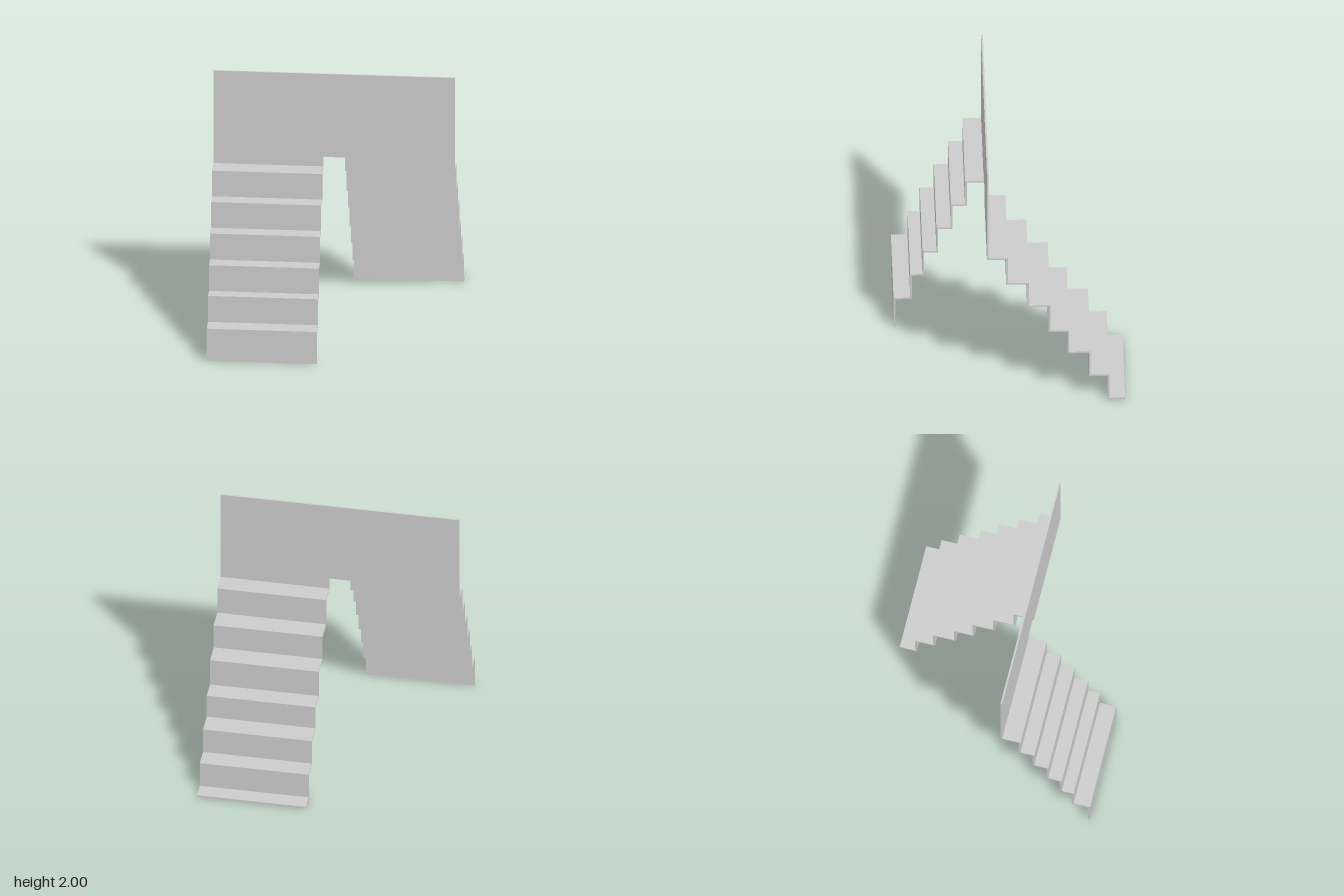
import * as THREE from 'three';

const T = 0.013;       // sheet thickness
const INNER = 0.077;   // half the gap between the flights
const OUTER = 0.872;   // half the total width
const WALL_BACK = 0.159, WALL_FRONT = 0.172;

const material = new THREE.MeshStandardMaterial({ color: 0xcccccc, flatShading: true });

// Folded sheet of treads and risers: the outer line goes down, the inner line returns up.
// steps: [nosing z, tread top y] from the top step down; dir: +1 descends to the front, -1 to the back.
function flight(name, steps, dir, startZ, xCentre, footZ) {
  const outer = [], inner = [];
  steps.forEach(([z, y], i) => {
    const prevZ = i ? steps[i - 1][0] : startZ;
    outer.push([prevZ, y], [z, y]);
    inner.push([i ? prevZ - dir * T : prevZ, y - T], [z - dir * T, y - T]);
  });
  const lastZ = steps[steps.length - 1][0];
  if (footZ === undefined) {
    outer.push([lastZ, 0]);
    inner.push([lastZ - dir * T, 0]);
  } else {
    // flat foot lying on the ground
    outer.push([lastZ, T], [footZ, T]);
    inner.push([lastZ - dir * T, 0], [footZ, 0]);
  }
  const points = [...outer, ...inner.reverse()].map(([z, y]) => new THREE.Vector2(-z, y));
  const width = OUTER - INNER;
  const geometry = new THREE.ExtrudeGeometry(new THREE.Shape(points), { depth: width, bevelEnabled: false });
  geometry.translate(0, 0, -width / 2);
  geometry.rotateY(Math.PI / 2); // profile runs along z, width along x
  const mesh = new THREE.Mesh(geometry, material);
  mesh.position.x = xCentre;
  mesh.name = name;
  return mesh;
}

export function createModel() {
  const group = new THREE.Group();
  group.name = 'doubleStaircase';
  const centre = (INNER + OUTER) / 2;

  // Flight descending to the front, on the right side
  group.add(flight('frontStairs', [
    [0.307, 1.27], [0.41, 1.068], [0.513, 0.866], [0.614, 0.661], [0.702, 0.458], [0.822, 0.253],
  ], 1, WALL_BACK, -centre));

  // Flight descending to the back, on the left side, ending in a flat foot
  group.add(flight('backStairs', [
    [0.02, 1.253], [-0.131, 1.033], [-0.285, 0.832], [-0.421, 0.612], [-0.575, 0.422], [-0.71, 0.218],
  ], -1, WALL_FRONT, centre, -0.824));

  // Upright wall joining both flights, notched above the gap
  const wallShape = new THREE.Shape([
    [-OUTER, 1.257], [-INNER, 1.257], [-INNER, 1.345], [INNER, 1.345],
    [INNER, 1.24], [OUTER, 1.24], [OUTER, 2], [-OUTER, 2],
  ].map(([x, y]) => new THREE.Vector2(x, y)));
  const wall = new THREE.Mesh(
    new THREE.ExtrudeGeometry(wallShape, { depth: WALL_FRONT - WALL_BACK, bevelEnabled: false }), material);
  wall.position.z = WALL_BACK;
  wall.name = 'wall';
  group.add(wall);

  return group;
}
